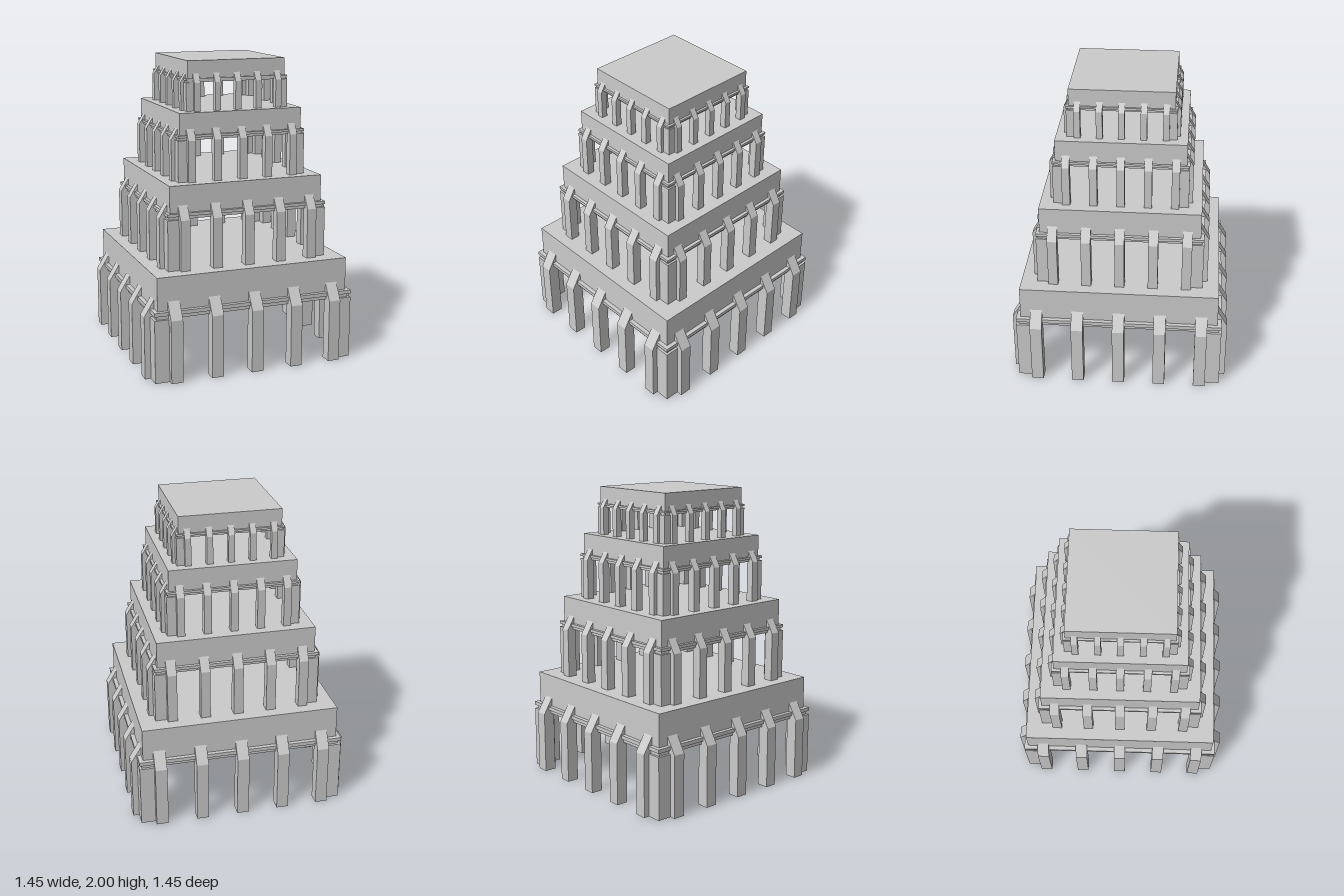
import * as THREE from 'three';

const material = new THREE.MeshStandardMaterial({ color: 0xcccccc, flatShading: true });

function addMesh(parent, name, geometry, x = 0, y = 0, z = 0) {
  const mesh = new THREE.Mesh(geometry, material);
  mesh.name = name;
  mesh.position.set(x, y, z);
  parent.add(mesh);
  return mesh;
}

// Square solid of revolution: profile is [half width, height], listed upwards on the outside
function squareLathe(profile, s) {
  const points = profile.map(([half, y]) => new THREE.Vector2(half * Math.SQRT2 * s, y * s));
  return new THREE.LatheGeometry(points, 4, Math.PI / 4);
}

// Pier with a sloped head leaning back into the roof block; outer face towards +z
function pierGeometry(s, height) {
  const outer = 0.727 * s, inner = 0.647 * s, face = 0.66 * s, w = 0.08 * s;
  const shape = new THREE.Shape();
  shape.moveTo(-outer, 0);
  shape.lineTo(-inner, 0);
  shape.lineTo(-inner, height + 0.11 * s);
  shape.lineTo(-face, height + 0.11 * s);
  shape.lineTo(-outer, height);
  shape.closePath();
  const geometry = new THREE.ExtrudeGeometry(shape, { depth: w, bevelEnabled: false });
  geometry.translate(0, 0, -w / 2);
  geometry.rotateY(Math.PI / 2);
  return geometry;
}

function createTier(s, pierHeight) {
  const tier = new THREE.Group();

  // Roof block with a stepped recess in its underside
  addMesh(tier, 'roofBlock', squareLathe([
    [0, 0.18], [0.2, 0.18], [0.2, 0.09], [0.36, 0.09], [0.36, 0],
    [0.66, 0], [0.66, 0.27], [0, 0.27],
  ], s), 0, pierHeight, 0);

  // Thin stepped moulding around the foot of the block
  addMesh(tier, 'cornice', squareLathe([
    [0.64, 0], [0.672, 0], [0.672, 0.025], [0.688, 0.025], [0.688, 0.05], [0.64, 0.05],
  ], s), 0, pierHeight, 0);

  // Five piers on each of the four sides
  const pier = pierGeometry(s, pierHeight);
  for (let side = 0; side < 4; side++) {
    const row = new THREE.Group();
    row.name = 'pierRow';
    row.rotation.y = side * Math.PI / 2;
    for (let i = -2; i <= 2; i++) addMesh(row, 'pier', pier, i * 0.276 * s, 0, 0);
    tier.add(row);
  }

  // Square posts filling the corners between the end piers
  const post = new THREE.BoxGeometry(0.096 * s, pierHeight, 0.096 * s);
  for (const x of [-1, 1]) {
    for (const z of [-1, 1]) {
      addMesh(tier, 'cornerPost', post, x * 0.64 * s, pierHeight / 2, z * 0.64 * s);
    }
  }
  return tier;
}

export function createModel() {
  const model = new THREE.Group();
  model.name = 'steppedTower';
  // Each tier stands on the roof of the one below
  let y = 0;
  [0.418, 0.333, 0.269, 0.183].forEach((pierHeight, i) => {
    const s = 0.8 ** i;
    const tier = createTier(s, pierHeight);
    tier.name = 'tier' + (i + 1);
    tier.position.y = y;
    model.add(tier);
    y += pierHeight + 0.27 * s;
  });
  return model;
}
